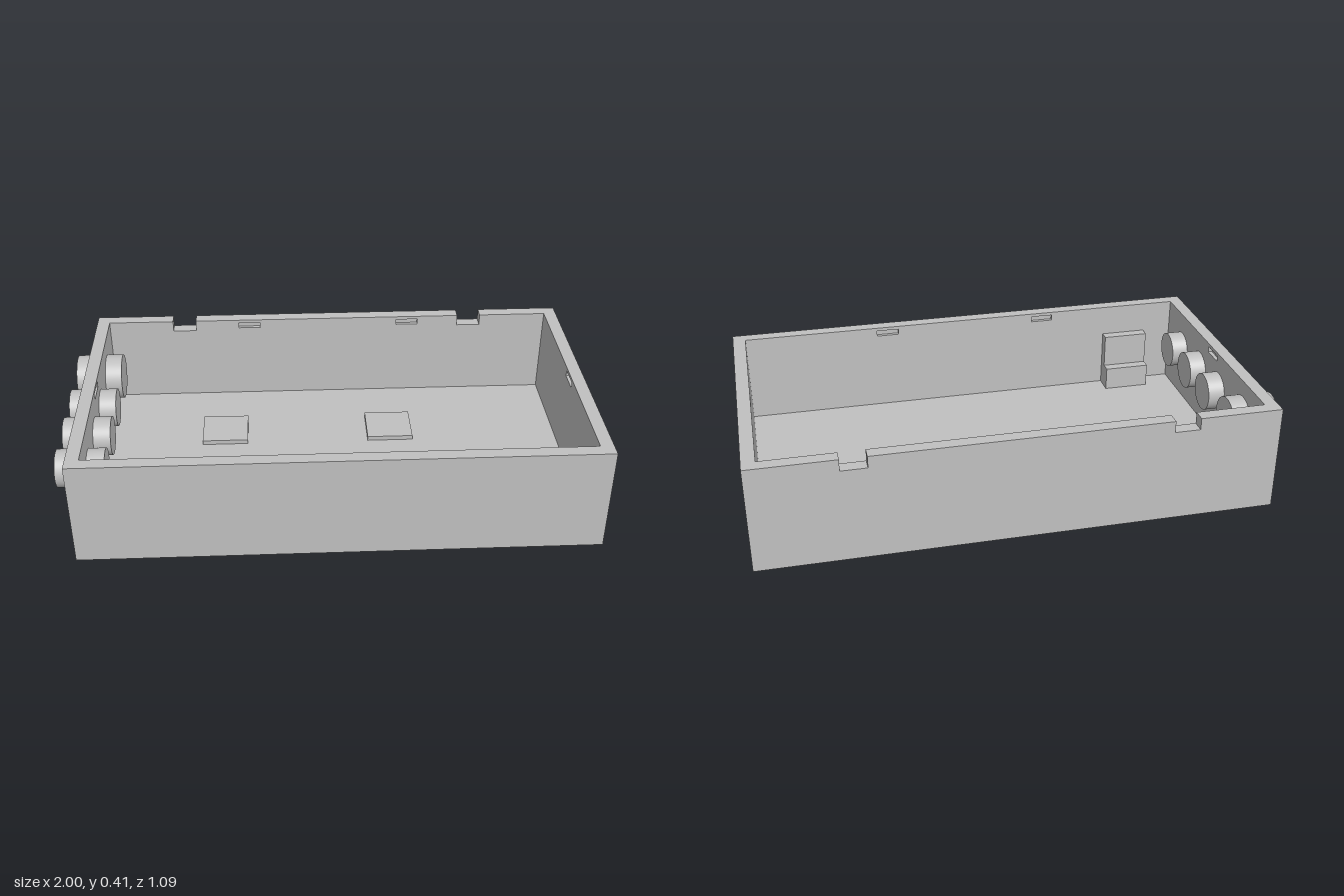
import * as THREE from 'three';

const grey = new THREE.MeshStandardMaterial({ color: 0xc0c0c0 });
grey.name = 'plainGrey';

const HEIGHT = 0.41, WALL = 0.05, LINER = 0.015, FLOOR = 0.055;
const MID_X = 0.0325;

function addBox(parent, name, x0, x1, y0, y1, z0, z1) {
  const mesh = new THREE.Mesh(new THREE.BoxGeometry(x1 - x0, y1 - y0, z1 - z0), grey);
  mesh.position.set((x0 + x1) / 2, (y0 + y1) / 2, (z0 + z1) / 2);
  mesh.name = name;
  parent.add(mesh);
}

// Upright panel with notches cut in its top edge and optional slot holes
function panel(length, depth, notches, slots) {
  const h = length / 2, shape = new THREE.Shape();
  shape.moveTo(-h, 0);
  shape.lineTo(h, 0);
  shape.lineTo(h, HEIGHT);
  for (const n of [...notches].sort((a, b) => b - a)) {
    shape.lineTo(n + 0.048, HEIGHT);
    shape.lineTo(n + 0.048, HEIGHT - 0.045);
    shape.lineTo(n - 0.048, HEIGHT - 0.045);
    shape.lineTo(n - 0.048, HEIGHT);
  }
  shape.lineTo(-h, HEIGHT);
  shape.closePath();
  for (const s of slots) {
    const hole = new THREE.Path();
    hole.moveTo(s - 0.045, 0.374);
    hole.lineTo(s - 0.045, 0.397);
    hole.lineTo(s + 0.045, 0.397);
    hole.lineTo(s + 0.045, 0.374);
    hole.closePath();
    shape.holes.push(hole);
  }
  return new THREE.ExtrudeGeometry(shape, { depth, bevelEnabled: false });
}

// Wall: slotted inner liner plus solid outer layer, outside facing local +z
function addWall(parent, name, length, x, z, turn, notches, slots) {
  const wall = new THREE.Group();
  wall.name = name;
  const liner = new THREE.Mesh(panel(length, LINER, notches, slots), grey);
  liner.name = name + 'Liner';
  const outer = new THREE.Mesh(panel(length, WALL - LINER, notches, []), grey);
  outer.name = name + 'Outer';
  outer.position.z = LINER;
  wall.add(liner, outer);
  wall.position.set(x, 0, z);
  wall.rotation.y = turn;
  parent.add(wall);
}

export function createModel() {
  const model = new THREE.Group();
  model.name = 'openEnclosure';

  // Tray
  addBox(model, 'floor', -0.885, 0.95, 0, FLOOR, -0.495, 0.495);
  addWall(model, 'frontWall', 1.935, MID_X, 0.495, 0, [], [-0.333, 0.333]);
  addWall(model, 'backWall', 1.935, MID_X, -0.495, Math.PI, [0.605, -0.595], [-0.333, 0.333]);
  addWall(model, 'leftWall', 0.99, 0.95, 0, Math.PI / 2, [], [0]);
  addWall(model, 'rightWall', 0.99, -0.885, 0, -Math.PI / 2, [], [0]);

  // Round connectors passing through the right wall
  for (const [z, r] of [[-0.313, 0.089], [-0.074, 0.074], [0.125, 0.074], [0.33, 0.071]]) {
    const plug = new THREE.Mesh(new THREE.CylinderGeometry(r, r, 0.18, 48), grey);
    plug.rotation.z = Math.PI / 2;
    plug.position.set(-0.91, 0.26, z);
    plug.name = 'connector';
    model.add(plug);
  }

  // Raised pads on the floor
  for (const x of [-0.407, 0.268]) {
    addBox(model, 'floorPad', x - 0.092, x + 0.092, FLOOR, FLOOR + 0.018, -0.275, -0.095);
  }

  // Stepped bracket against the front wall
  addBox(model, 'bracketUpright', -0.765, -0.58, FLOOR, 0.285, 0.455, 0.495);
  addBox(model, 'bracketStep', -0.765, -0.58, FLOOR, 0.15, 0.415, 0.455);

  return model;
}
